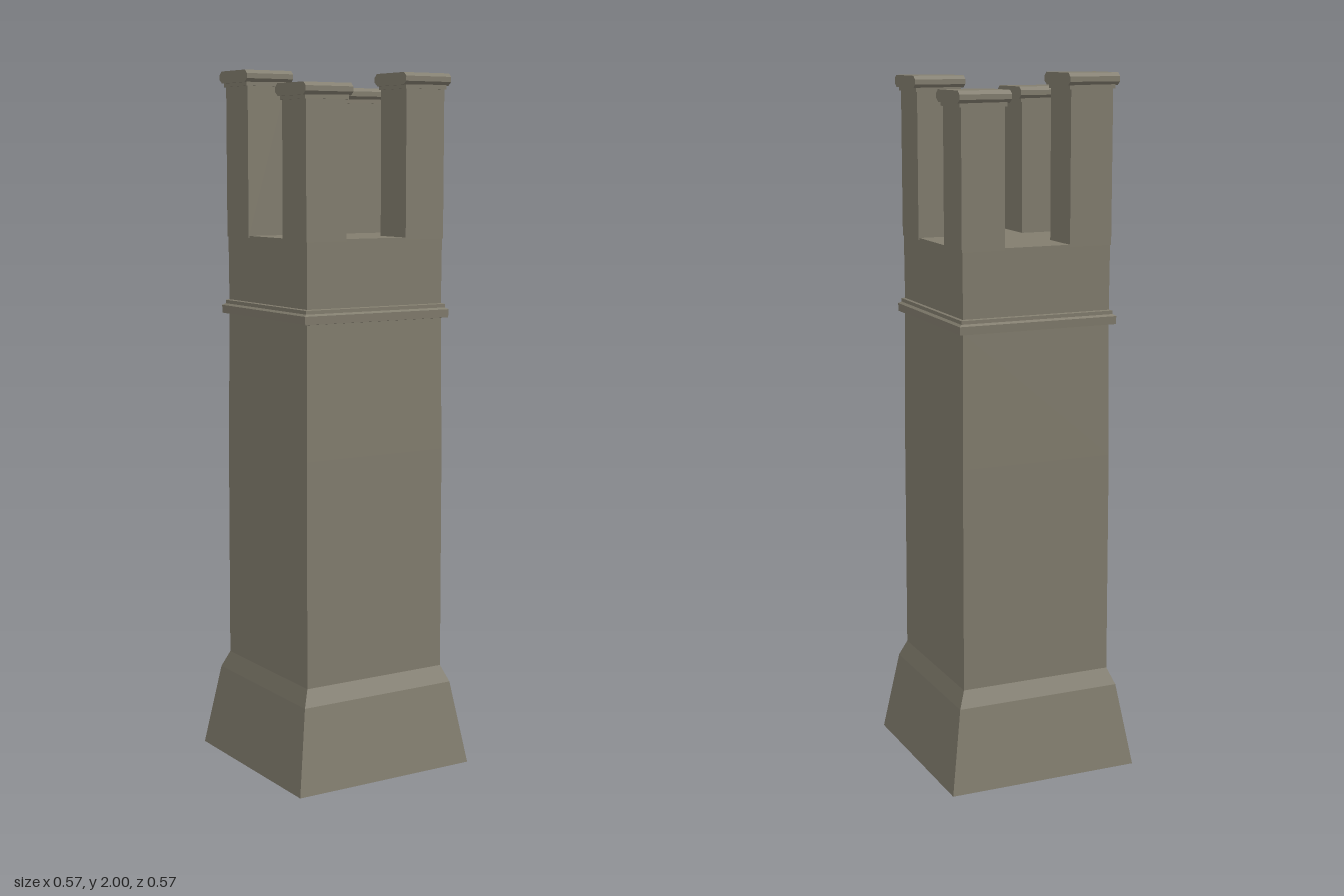
import * as THREE from 'three';

const stone = new THREE.MeshStandardMaterial({ color: 0x827d6e });
stone.name = 'weathered stone';

function part(name, geometry) {
  const flat = geometry.index ? geometry.toNonIndexed() : geometry;
  flat.computeVertexNormals();
  const mesh = new THREE.Mesh(flat, stone);
  mesh.name = name;
  return mesh;
}

// Square tower section from [half width, height] pairs, bottom to top.
function squareLathe(name, profile) {
  const points = profile.map(([h, y]) => new THREE.Vector2(h * Math.SQRT2, y));
  return part(name, new THREE.LatheGeometry(points, 4).rotateY(Math.PI / 4));
}

// Cap slab: a side profile, chamfered along its front and back edges, extruded along x.
function capSlab(width, depth, height) {
  const d = depth / 2;
  const shape = new THREE.Shape();
  [[-d + 0.013, 0], [d - 0.013, 0], [d, 0.01], [d, height - 0.01], [d - 0.011, height],
    [-d + 0.011, height], [-d, height - 0.01], [-d, 0.01]]
    .forEach(([z, y], i) => (i ? shape.lineTo(z, y) : shape.moveTo(z, y)));
  const g = new THREE.ExtrudeGeometry(shape, { depth: width, bevelEnabled: false });
  return g.translate(0, 0, -width / 2).rotateY(Math.PI / 2);
}

export function createModel() {
  const tower = new THREE.Group();
  tower.name = 'tower';

  // Flared foot, shaft, string course and parapet
  tower.add(
    squareLathe('flaredBase', [[0, 0], [0.285, 0], [0.246, 0.24], [0.226, 0.288]]),
    squareLathe('shaft', [[0.226, 0.288], [0.225, 0.93], [0.221, 1.31]]),
    squareLathe('stringCourse', [[0.221, 1.306], [0.236, 1.308], [0.237, 1.331],
      [0.229, 1.336], [0.229, 1.346], [0.222, 1.348]]),
    squareLathe('parapet', [[0.221, 1.34], [0.222, 1.536], [0, 1.536]]),
  );

  // Corner pillars of uneven height: x side, z side, top height, cap twist
  const corners = [
    [1, 1, 1.988, 0.01],
    [-1, 1, 1.955, 0.02],
    [1, -1, 1.957, 0.02],
    [-1, -1, 2.0, 0.02],
  ];
  for (const [sx, sz, top, twist] of corners) {
    const pillar = new THREE.Group();
    pillar.name = 'cornerPillar';
    pillar.position.set(sx * 0.161, 0, sz * 0.16);
    const shaftHeight = top - 0.03 - 1.53;
    const post = part('pillarShaft', new THREE.BoxGeometry(0.127, shaftHeight, 0.127));
    post.position.y = 1.53 + shaftHeight / 2;
    const neck = part('pillarNeck', new THREE.BoxGeometry(0.137, 0.012, 0.134));
    neck.position.y = top - 0.038;
    const cap = part('pillarCap', capSlab(0.152, 0.156, 0.034));
    cap.position.y = top - 0.034;
    cap.rotation.y = twist;
    pillar.add(post, neck, cap);
    tower.add(pillar);
  }
  return tower;
}
